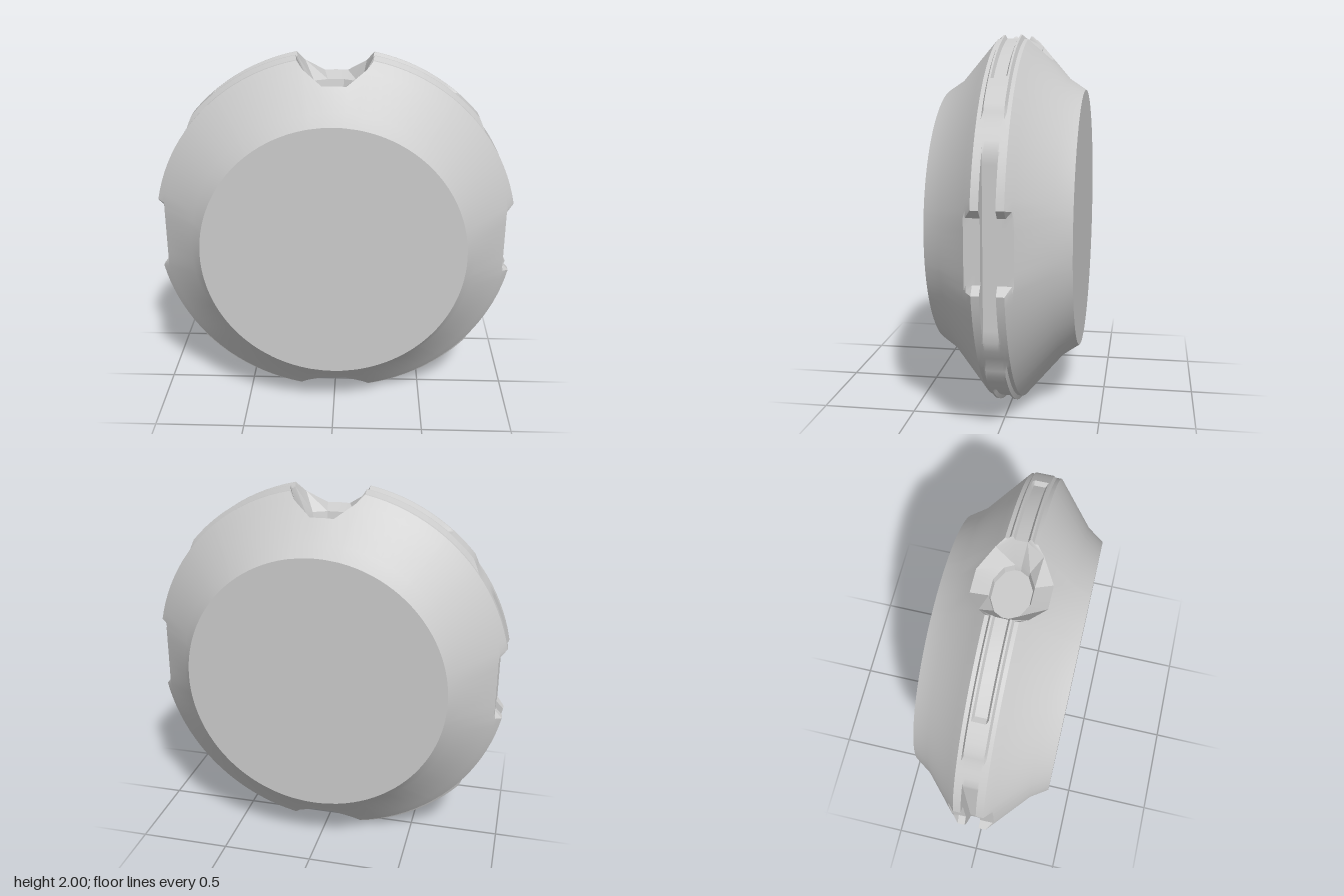
import * as THREE from 'three';
import { toCreasedNormals } from 'three/addons/utils/BufferGeometryUtils.js';

const HOLE = 0.2014; // half-angle of the sockets at top and bottom
const material = new THREE.MeshStandardMaterial({ color: 0xcccccc });

// piecewise linear lookup in [[x, y], ...]
function lookup(points, x) {
  for (let i = 1; i < points.length; i++) {
    const [x0, y0] = points[i - 1], [x1, y1] = points[i];
    if (x <= x1) return y0 + (y1 - y0) * Math.max(0, (x - x0) / (x1 - x0));
  }
  return points[points.length - 1][1];
}

// radius of the double cone at distance z from the middle plane
const cone = z => lookup([[0, 1], [0.08, 1], [0.28, 0.77], [0.37, 0.71]], z);
// half width (in z) of the ten-sided socket mouth at angle t from vertical
const mouth = t => lookup([[0, 0.19], [0.072, 0.19], [0.174, 0.118], [HOLE, 0]], t);

// one cross-section, from the +z face to the middle, at angle t from vertical
function halfSection(t) {
  const s = Math.PI / 2 - t;
  const floor = lookup([[0.168, 0.94 / Math.cos(Math.min(s, 0.168))], [0.203, 1.1]], s);
  const rib = 0.022 * lookup([[0.85, 1], [0.927, 0]], t);
  const channel = lookup([[0.67, 0.02], [0.69, 0]], t);
  const groove = 0.885 / Math.max(0.1, Math.cos(s));
  const rim = Math.min(1, floor), top = Math.min(1 + rib, floor);
  const rows = [
    [0.37, 0], [0.37, 0.71], [0.28, 0.77],
    [0.12, Math.min(cone(0.12), floor)], [0.11, Math.min(cone(0.11), floor)],
    [0.08, rim], [0.06, rim], [0.05, top], [0.04, top],
    [0.04, Math.min(top, groove)], [0.03, Math.min(top - channel, groove)],
  ];
  const w = t < HOLE - 1e-6 ? mouth(t) : 0;
  return rows.map(([z, r]) => (z < w ? [w, cone(w)] : [z, r]));
}

// full cross-section as points, phi measured clockwise from the top
function section(phi) {
  const t = Math.acos(Math.min(1, Math.abs(Math.cos(phi))));
  const half = halfSection(t);
  const back = half.map(([z, r]) => [-z, r]).reverse();
  return [...half, ...back].map(([z, r]) =>
    new THREE.Vector3(r * Math.sin(phi), r * Math.cos(phi), z));
}

// collects triangles, leaving out the collapsed ones
function triangleMesh(name, crease, fill) {
  const out = [];
  const tri = (a, b, c) => {
    const area = b.clone().sub(a).cross(c.clone().sub(a)).length();
    if (area > 1e-8) out.push(...a.toArray(), ...b.toArray(), ...c.toArray());
  };
  fill(tri);
  const geometry = new THREE.BufferGeometry();
  geometry.setAttribute('position', new THREE.Float32BufferAttribute(out, 3));
  const mesh = new THREE.Mesh(toCreasedNormals(geometry, crease), material);
  mesh.name = name;
  return mesh;
}

// angles of the cross-sections: exact at feature edges, even in between
function angles() {
  const H = Math.PI / 2;
  const stops = [0, 0.072, 0.174, HOLE, 0.67, 0.69, 0.85, 0.927, H - 0.48,
    H - 0.203, H - 0.168, H];
  const quarter = [];
  for (let i = 0; i < stops.length - 1; i++) {
    const span = stops[i + 1] - stops[i];
    const n = stops[i] < HOLE ? 1 : Math.ceil(span / 0.06);
    for (let k = 0; k < n; k++) quarter.push(stops[i] + span * k / n);
  }
  const mirrored = [H, ...quarter.slice(1).reverse()].map(t => Math.PI - t);
  const half = [...quarter, ...mirrored];
  return [...half, ...half.map(t => t + Math.PI)];
}

function createBody() {
  const phis = angles();
  const sections = phis.map(section);
  const inHole = phi => Math.acos(Math.min(1, Math.abs(Math.cos(phi)))) < HOLE + 1e-6;
  return triangleMesh('discBody', 0.5, tri => {
    for (let i = 0; i < phis.length; i++) {
      const j = (i + 1) % phis.length;
      const A = sections[i], B = sections[j];
      for (let k = 0; k < A.length - 1; k++) {
        // leave the socket mouth open
        if (k === A.length / 2 - 1 && inHole(phis[i]) && inHole(phis[j])) continue;
        tri(A[k], B[k], A[k + 1]);
        tri(B[k], B[k + 1], A[k + 1]);
      }
    }
  });
}

// tapered socket with a small pit, sewn to the mouth in the body
function createSocket(name) {
  const steps = [-HOLE, -0.174, -0.072, 0, 0.072, 0.174, HOLE];
  const cuts = steps.map(section);
  const mid = cuts[0].length / 2;
  const lip = [...cuts.map(c => c[mid - 1]), ...cuts.map(c => c[mid]).reverse()];
  const ring = (sx, sz, y) => lip.map(p => new THREE.Vector3(p.x * sx, y, p.z * sz));
  const rings = [lip, ring(0.7, 0.54, 0.84), ring(0.66, 0.5, 0.8), ring(0, 0, 0.8)];
  return triangleMesh(name, 0.3, tri => {
    for (let r = 0; r < rings.length - 1; r++) {
      const P = rings[r], Q = rings[r + 1];
      for (let i = 0; i < P.length; i++) {
        const j = (i + 1) % P.length;
        tri(P[i], P[j], Q[i]);
        tri(P[j], Q[j], Q[i]);
      }
    }
  });
}

export function createModel() {
  const model = new THREE.Group();
  model.name = 'notchedDisc';
  const topSocket = createSocket('topSocket');
  const bottomSocket = createSocket('bottomSocket');
  bottomSocket.rotation.z = Math.PI;
  model.add(createBody(), topSocket, bottomSocket);
  model.children.forEach(part => { part.position.y = 1; });
  return model;
}
